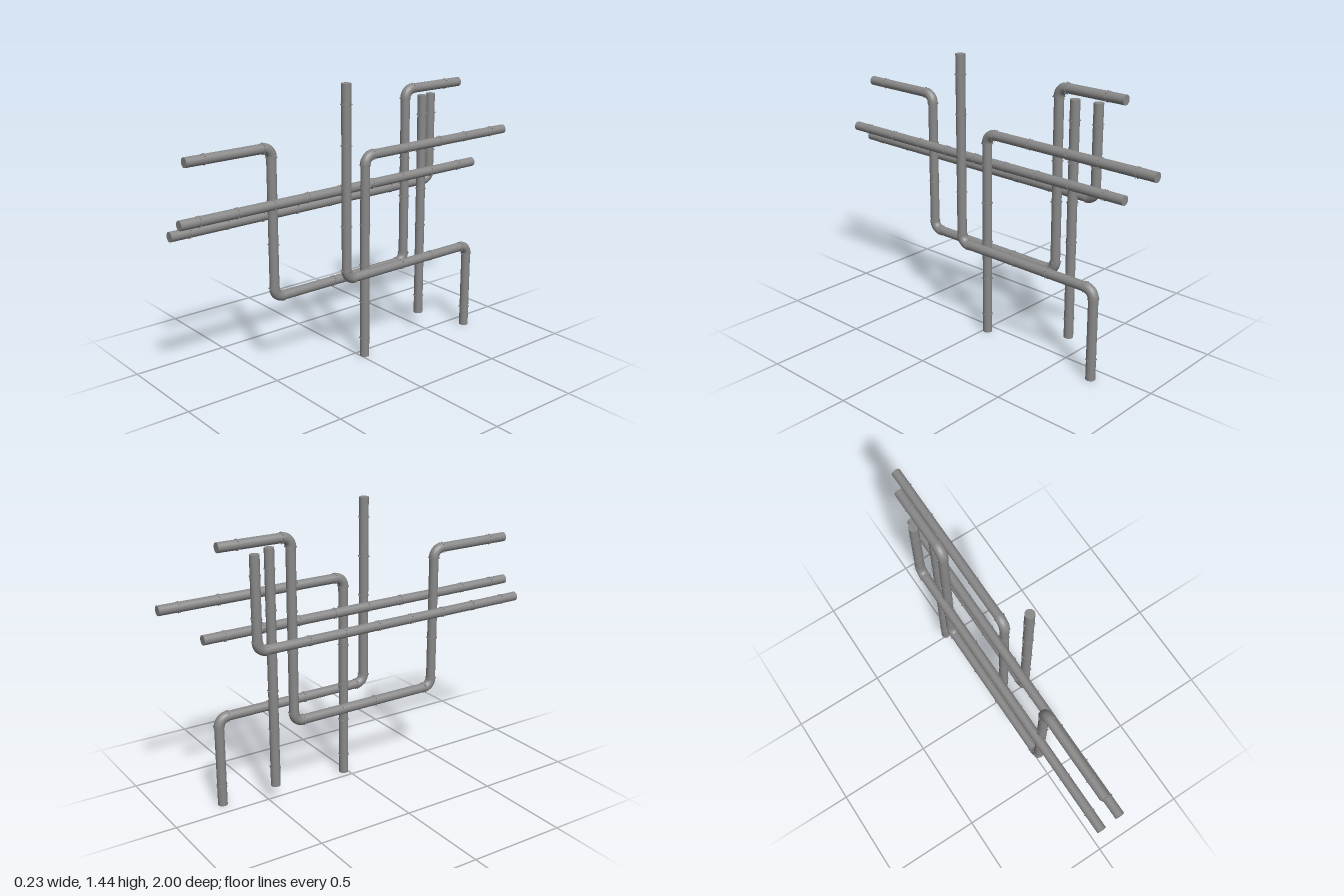
import * as THREE from 'three';

const R = 0.024;       // pipe radius
const ELBOW_R = 0.026; // elbow fitting radius
const BEND = 0.047;    // centreline radius of a bend
const UP = new THREE.Vector3(0, 1, 0);
const material = new THREE.MeshStandardMaterial({ color: 0x888888 });

function add(parent, name, geometry) {
  const mesh = new THREE.Mesh(geometry, material);
  mesh.name = name;
  parent.add(mesh);
  return mesh;
}

// Capped cylinder between two points
function pipe(parent, a, b) {
  const m = add(parent, 'pipe', new THREE.CylinderGeometry(R, R, a.distanceTo(b), 24));
  m.position.copy(a).lerp(b, 0.5);
  m.quaternion.setFromUnitVectors(UP, b.clone().sub(a).normalize());
}

// Thin coupling band with a ring of small rivets
function joint(parent, position, direction, radius = R + 0.001) {
  const g = new THREE.Group();
  g.name = 'joint';
  g.position.copy(position);
  g.quaternion.setFromUnitVectors(UP, direction);
  add(g, 'band', new THREE.CylinderGeometry(radius, radius, 0.008, 24));
  const rivet = new THREE.CylinderGeometry(0.003, 0.004, 0.005, 6);
  for (let i = 0; i < 8; i++) {
    const t = (i / 8) * Math.PI * 2;
    const m = add(g, 'rivet', rivet);
    const out = new THREE.Vector3(Math.cos(t), 0, Math.sin(t));
    m.position.copy(out).multiplyScalar(radius + 0.001);
    m.quaternion.setFromUnitVectors(UP, out);
  }
  parent.add(g);
}

// Quarter-circle fitting turning from direction d1 to d2 at a corner
class Bend extends THREE.Curve {
  constructor(corner, d1, d2) {
    super();
    Object.assign(this, { corner, d1, d2 });
  }
  getPoint(t, target = new THREE.Vector3()) {
    const a = (t * Math.PI) / 2;
    return target.copy(this.corner)
      .addScaledVector(this.d1, BEND * (Math.sin(a) - 1))
      .addScaledVector(this.d2, BEND * (1 - Math.cos(a)));
  }
}

function elbow(parent, corner, d1, d2) {
  const curve = new Bend(corner, d1, d2);
  add(parent, 'elbow', new THREE.TubeGeometry(curve, 12, ELBOW_R, 24));
  joint(parent, curve.getPoint(0), d1, ELBOW_R);
  joint(parent, curve.getPoint(1), d2, ELBOW_R);
}

// Each run lies in a plane of constant x: path corners and joints as [z, y]
const runs = [
  { name: 'straightHorizontalRun', x: 0.007, path: [[1, 0.903], [-0.81, 0.903]],
    joints: [0.9, 0.7, 0.5, 0.3, 0.1, -0.1, -0.3, -0.5, -0.7].map(z => [z, 0.903]) },
  { name: 'risingRun', x: -0.086, path: [[1, 0.828], [-0.58, 0.828], [-0.58, 1.292]],
    joints: [...[0.9, 0.7, 0.5, 0.3, 0.1, -0.1, -0.3].map(z => [z, 0.828]), [-0.58, 1.19], [-0.58, 0.99]] },
  { name: 'steppedRun', x: -0.055,
    path: [[0.925, 1.162], [0.463, 1.162], [0.463, 0.414], [-0.375, 0.414], [-0.375, 1.339], [-0.75, 1.339]],
    joints: [[0.825, 1.162], [0.463, 0.9], [0.463, 0.685], [0.1, 0.414], [-0.1, 0.414],
      [-0.375, 0.775], [-0.375, 0.98], [-0.65, 1.339]] },
  { name: 'straightVerticalRun', x: -0.041, path: [[-0.48, 0.093], [-0.48, 1.3]],
    joints: [0.193, 0.395, 0.597, 0.8, 1, 1.2].map(y => [-0.48, y]) },
  { name: 'tallCornerRun', x: 0.05, path: [[-0.02, 0], [-0.02, 1.066], [-1, 1.066]],
    joints: [...[0.1, 0.3, 0.5, 0.71, 0.91].map(y => [-0.02, y]), ...[-0.29, -0.52, -0.7, -0.9].map(z => [z, 1.066])] },
  { name: 'droppingRun', x: 0.083, path: [[0.125, 1.443], [0.125, 0.465], [-0.713, 0.465], [-0.713, 0]],
    joints: [...[1.343, 1.143, 0.94, 0.74].map(y => [0.125, y]), [-0.235, 0.465], [-0.44, 0.465], [-0.713, 0.105]] },
];

function buildRun({ name, x, path, joints }) {
  const g = new THREE.Group();
  g.name = name;
  const p = path.map(([z, y]) => new THREE.Vector3(x, y, z));
  const dirs = p.slice(1).map((q, i) => q.clone().sub(p[i]).normalize());
  dirs.forEach((d, i) => {
    const a = p[i].clone(), b = p[i + 1].clone();
    if (i > 0) a.addScaledVector(d, BEND);
    if (i < dirs.length - 1) {
      b.addScaledVector(d, -BEND);
      elbow(g, p[i + 1], d, dirs[i + 1]);
    }
    pipe(g, a, b);
  });
  // Align every joint with the straight section it sits on
  for (const [z, y] of joints) {
    const at = new THREE.Vector3(x, y, z);
    const i = dirs.findIndex((d, k) => at.clone().sub(p[k]).cross(d).length() < 1e-4);
    joint(g, at, dirs[i]);
  }
  return g;
}

export function createModel() {
  const model = new THREE.Group();
  model.name = 'pipes';
  for (const run of runs) model.add(buildRun(run));
  return model;
}
